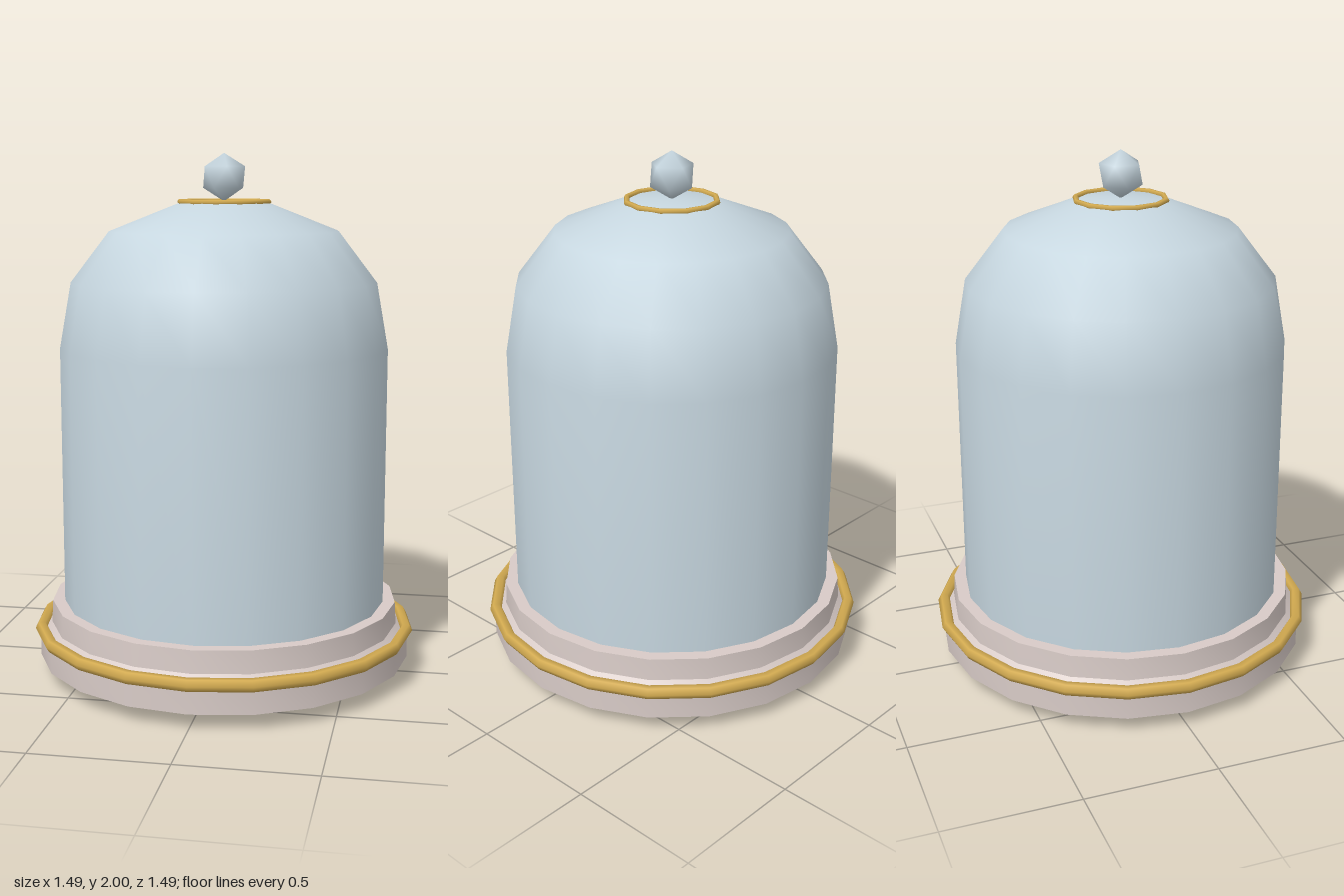
import * as THREE from 'three';
import { toCreasedNormals, mergeVertices } from 'three/addons/utils/BufferGeometryUtils.js';

const material = (name, color) => {
  const m = new THREE.MeshStandardMaterial({ color });
  m.name = name;
  return m;
};

// Turned part from [radius, height] pairs, listed from bottom to top
const turned = (profile) => toCreasedNormals(
  new THREE.LatheGeometry(profile.map(([r, y]) => new THREE.Vector2(r, y)), 20), 0.6);

// Smooth-shaded icosahedron standing on one corner
function bead(radius) {
  const raw = new THREE.IcosahedronGeometry(radius, 0);
  raw.deleteAttribute('normal');
  raw.deleteAttribute('uv');
  const g = mergeVertices(raw);
  g.rotateX(-Math.atan((1 + Math.sqrt(5)) / 2));
  g.rotateY(Math.PI / 2);
  g.computeVertexNormals();
  return g;
}

export function createModel() {
  const model = new THREE.Group();
  model.name = 'bellJar';
  const glass = material('pale blue glass', 0xc6d6df);
  const stone = material('warm pale base', 0xd8cbc7);
  const gold = material('gold', 0xd2aa50);

  const add = (name, geometry, mat, x = 0, y = 0, z = 0) => {
    const mesh = new THREE.Mesh(geometry, mat);
    mesh.name = name;
    mesh.position.set(x, y, z);
    model.add(mesh);
    return mesh;
  };

  // Stepped base
  add('base', turned([
    [0, 0.062], [0.725, 0.062], [0.725, 0.15], [0.68, 0.195], [0.675, 0.28], [0, 0.28],
  ]), stone);

  // Dome
  add('dome', turned([
    [0.628, 0.27], [0.628, 1.27], [0.583, 1.52], [0.437, 1.71], [0.17, 1.815], [0, 1.825],
  ]), glass);

  // Gold rings around the base and on the crown
  const ring = (name, radius, tube, segments, y) =>
    add(name, new THREE.TorusGeometry(radius, tube, 6, segments).rotateX(Math.PI / 2), gold, 0, y);
  ring('baseRing', 0.72, 0.025, 20, 0.17);
  ring('crownRing', 0.17, 0.011, 12, 1.818);

  // Knob
  add('knob', bead(0.09), glass, 0, 1.91);

  // Three feet
  for (let i = 0; i < 3; i++) {
    const a = (i * Math.PI * 2) / 3;
    add('foot', bead(0.062), gold, 0.58 * Math.cos(a), 0.062, 0.58 * Math.sin(a));
  }
  return model;
}
